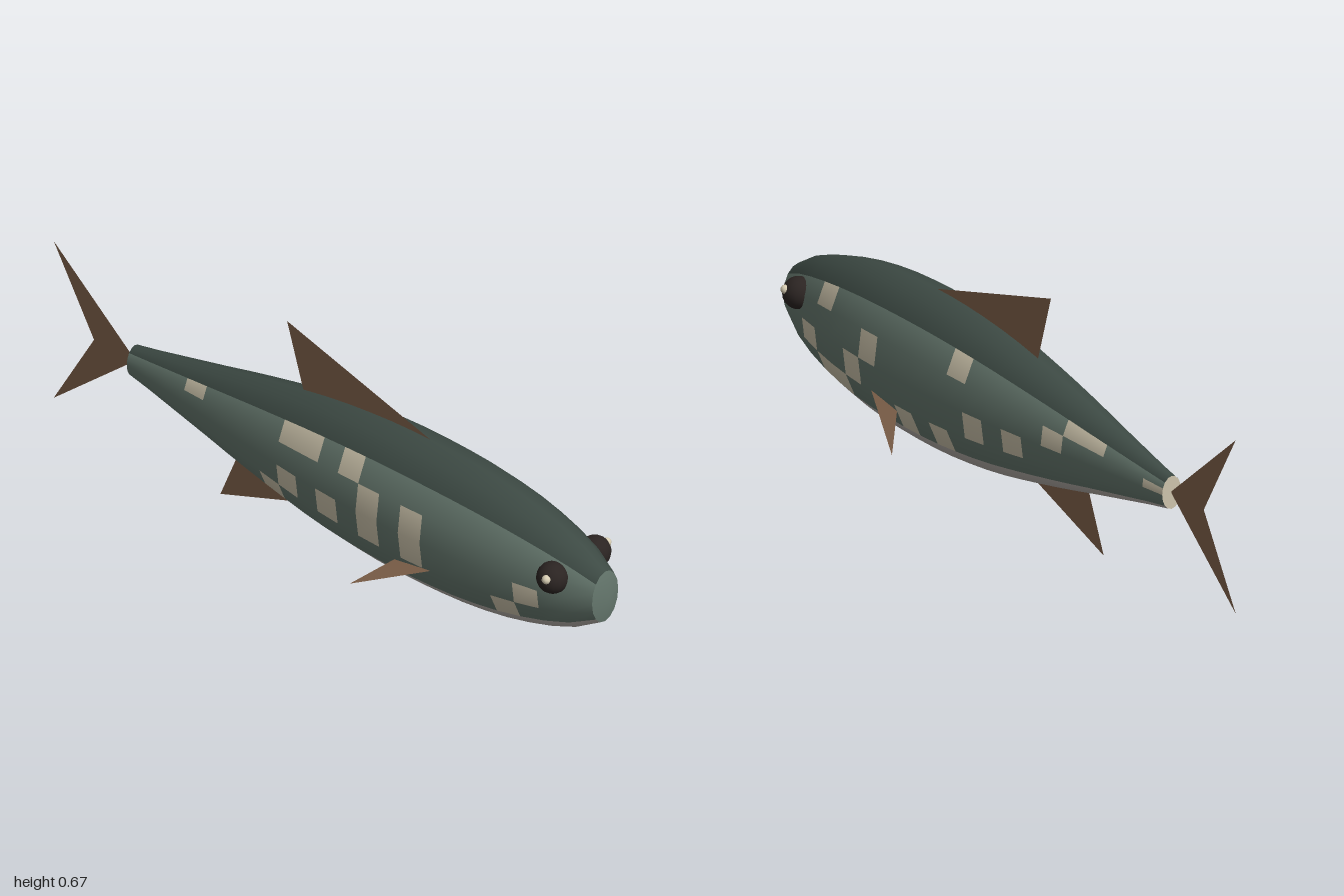
import * as THREE from 'three';

const SIDES = 16, CY = 0.297, NOSE_Z = 0.985, STEP = 0.077, ASPECT = 0.655;
// Half height of the body at each ring, nose to tail
const HALF = [0.08, 0.127, 0.157, 0.179, 0.196, 0.208, 0.216, 0.22, 0.222, 0.222, 0.219, 0.213,
  0.205, 0.194, 0.18, 0.165, 0.149, 0.132, 0.114, 0.097, 0.08, 0.063, 0.048];
const RINGS = HALF.length - 1;
const COLORS = { back: 0x3d4a44, flank: 0x66786e, belly: 0xb5afa9, patch: 0xcdc4ac, fin: 0x84654d, eye: 0x2b2422, glint: 0xd8ceb4 };

// Pale patches on each flank: 'column,row' with row 0 at the top
const PATCHES = {
  left: new Set(['3,0', '11,0', '17,0', '18,0', '6,1', '16,1', '21,1', '2,2', '5,2', '12,2', '14,2', '3,3', '4,3', '8,3', '10,3']),
  right: new Set(['10,0', '12,0', '13,0', '18,0', '7,1', '9,1', '2,2', '7,2', '9,2', '11,2', '13,2', '3,3', '14,3']),
};

const materials = {};
for (const key in COLORS) {
  materials[key] = new THREE.MeshStandardMaterial({ color: COLORS[key] });
}
materials.fin.side = THREE.DoubleSide;

function add(parent, name, geometry, material) {
  const mesh = new THREE.Mesh(geometry, material);
  mesh.name = name;
  parent.add(mesh);
  return mesh;
}

// Which colour a body quad takes
function skinOf(k, j) {
  if (j < 2 || j > 13) return 'back';
  if (j > 5 && j < 10) return 'belly';
  const marked = j < 8 ? PATCHES.left.has(`${k},${j - 2}`) : PATCHES.right.has(`${k},${13 - j}`);
  return marked ? 'patch' : 'flank';
}

// Lofted oval body, split into coloured meshes that share smooth normals
function buildBody() {
  const body = new THREE.Group();
  body.name = 'body';
  const points = [], all = [];
  const faces = { back: [], flank: [], belly: [], patch: [] };
  HALF.forEach((h, k) => {
    for (let j = 0; j < SIDES; j++) {
      const t = (j / SIDES) * Math.PI * 2;
      points.push(h * ASPECT * Math.sin(t), CY + h * Math.cos(t), NOSE_Z - k * STEP);
    }
  });
  for (let k = 0; k < RINGS; k++) {
    for (let j = 0; j < SIDES; j++) {
      const a = k * SIDES + j, b = k * SIDES + (j + 1) % SIDES;
      const quad = [a, b, a + SIDES, b, b + SIDES, a + SIDES];
      all.push(...quad);
      faces[skinOf(k, j)].push(...quad);
    }
  }
  const whole = new THREE.BufferGeometry();
  whole.setAttribute('position', new THREE.Float32BufferAttribute(points, 3));
  whole.setIndex(all);
  whole.computeVertexNormals();
  for (const key in faces) {
    const part = whole.clone();
    part.setIndex(faces[key]);
    add(body, key, part, materials[key]);
  }

  // Slightly pointed nose cap
  const nose = new THREE.CircleGeometry(1, SIDES);
  nose.scale(HALF[0] * ASPECT, HALF[0], 1);
  nose.attributes.position.setZ(0, 0.015);
  nose.computeVertexNormals();
  add(body, 'nose', nose, materials.flank).position.set(0, CY, NOSE_Z);

  // Flat cap at the tail root
  const end = HALF[RINGS];
  const tailCap = new THREE.CircleGeometry(1, SIDES);
  tailCap.scale(end * ASPECT, end, 1);
  tailCap.rotateY(Math.PI);
  add(body, 'tailCap', tailCap, materials.patch).position.set(0, CY, NOSE_Z - RINGS * STEP);
  return body;
}

// Thin upright fin from [z, y] outline points
function midFin(parent, name, outline) {
  const shape = new THREE.Shape(outline.map(([z, y]) => new THREE.Vector2(-z, y)));
  const geometry = new THREE.ShapeGeometry(shape);
  geometry.rotateY(Math.PI / 2);
  add(parent, name, geometry, materials.fin);
}

export function createModel() {
  const fish = new THREE.Group();
  fish.name = 'fish';
  fish.add(buildBody());

  midFin(fish, 'dorsalFin', [[0.37, 0.515], [-0.1, 0.47], [-0.16, 0.67]]);
  midFin(fish, 'analFin', [[-0.08, 0.12], [-0.4, 0.005], [-0.33, 0.175]]);
  midFin(fish, 'tailFin', [[-0.705, 0.297], [-1, 0.045], [-0.855, 0.297], [-1, 0.55]]);

  // Paired fins and eyes
  for (const [side, s] of [['left', 1], ['right', -1]]) {
    const fin = new THREE.BufferGeometry();
    fin.setAttribute('position', new THREE.Float32BufferAttribute(
      [s * 0.132, 0.216, 0.476, s * 0.138, 0.2, 0.35, s * 0.219, 0.122, 0.262], 3));
    fin.setIndex(s > 0 ? [0, 1, 2] : [0, 2, 1]);
    fin.computeVertexNormals();
    add(fish, `${side}PectoralFin`, fin, materials.fin);

    const eye = add(fish, `${side}Eye`, new THREE.SphereGeometry(0.045, 16, 12), materials.eye);
    eye.position.set(s * 0.084, 0.35, 0.872);
    const glint = add(fish, `${side}EyeGlint`, new THREE.SphereGeometry(0.013, 10, 8), materials.glint);
    glint.position.set(s * 0.121, 0.365, 0.882);
  }
  return fish;
}
